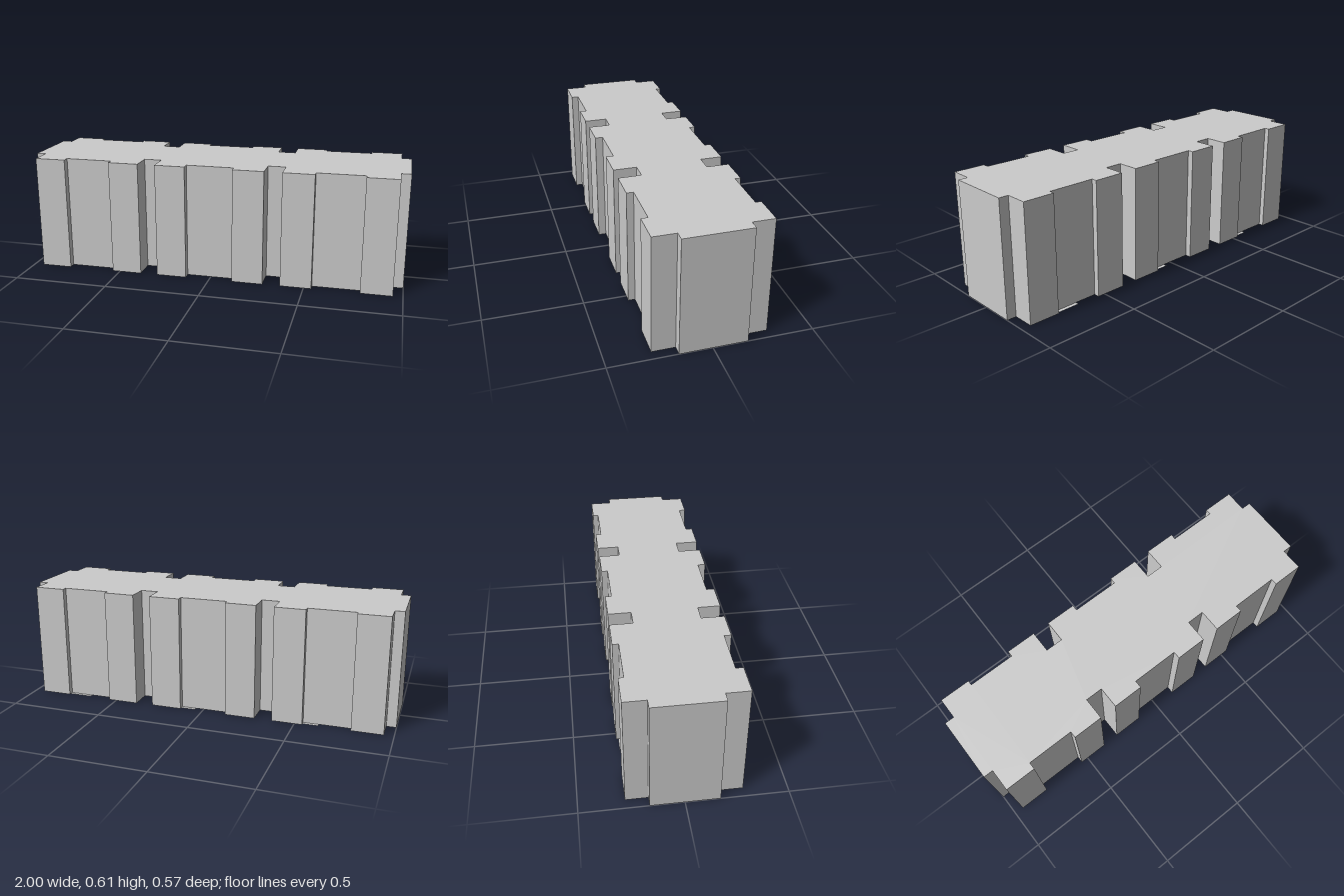
import * as THREE from 'three';

const HEIGHT = 0.605;

// x boundaries shared by both long sides; depth of each bay along front and back
const xs = [-1, -0.95, -0.787, -0.54, -0.38, -0.288, -0.128, 0.122, 0.285, 0.377, 0.54, 0.787, 0.95, 1];
const frontZ = [0.17, 0.287, 0.25, 0.285, 0.168, 0.283, 0.243, 0.282, 0.163, 0.281, 0.246, 0.28, 0.163];
const backZ = [-0.167, -0.278, -0.252, -0.283, -0.167, -0.283, -0.252, -0.284, -0.173, -0.287, -0.258, -0.287, -0.173];

// stepped outline of one long side
function sidePoints(depths) {
  const pts = [];
  depths.forEach((z, i) => {
    pts.push(new THREE.Vector2(xs[i], z), new THREE.Vector2(xs[i + 1], z));
  });
  return pts;
}

export function createModel() {
  const group = new THREE.Group();
  const material = new THREE.MeshStandardMaterial({
    color: 0xcccccc, flatShading: true, side: THREE.DoubleSide,
  });
  const add = (geometry, name) => {
    const mesh = new THREE.Mesh(geometry, material);
    mesh.name = name;
    group.add(mesh);
    return mesh;
  };

  // plan outline: along the front, then back along the rear
  const outline = [...sidePoints(frontZ), ...sidePoints(backZ).reverse()];

  // flat roof (plan z becomes -y of the shape before it is laid down)
  const shape = new THREE.Shape(outline.map((p) => new THREE.Vector2(p.x, -p.y)));
  const roof = new THREE.ShapeGeometry(shape);
  roof.rotateX(-Math.PI / 2);
  roof.translate(0, HEIGHT, 0);
  add(roof, 'roof');

  // thin outer walls, open at the bottom
  const positions = [];
  outline.forEach((a, i) => {
    const b = outline[(i + 1) % outline.length];
    positions.push(
      a.x, 0, a.y, b.x, 0, b.y, b.x, HEIGHT, b.y,
      a.x, 0, a.y, b.x, HEIGHT, b.y, a.x, HEIGHT, a.y,
    );
  });
  const walls = new THREE.BufferGeometry();
  walls.setAttribute('position', new THREE.Float32BufferAttribute(positions, 3));
  walls.computeVertexNormals();
  add(walls, 'walls');

  // small ground ledges in the rear recesses: x start, x end, outer z, inner z
  const ledges = [
    [-0.62, -0.54, -0.272, -0.252],
    [0.045, 0.122, -0.272, -0.252],
    [0.66, 0.787, -0.278, -0.258],
  ];
  for (const [x0, x1, z0, z1] of ledges) {
    const ledge = new THREE.PlaneGeometry(x1 - x0, z1 - z0);
    ledge.rotateX(-Math.PI / 2);
    ledge.translate((x0 + x1) / 2, 0, (z0 + z1) / 2);
    add(ledge, 'rearLedge');
  }

  return group;
}
